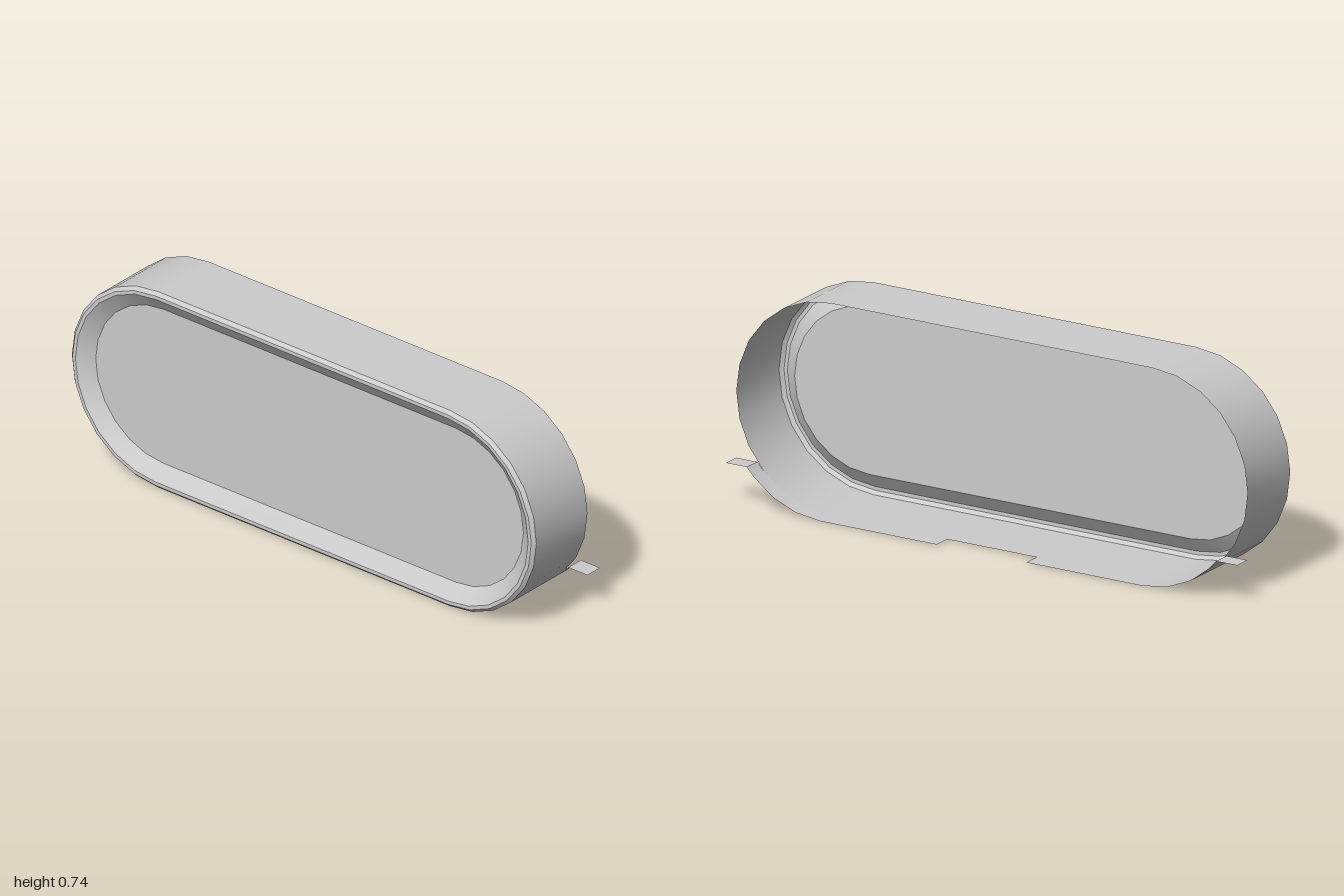
import * as THREE from 'three';

const R = 0.37;          // end radius of the stadium outline
const HALF = 0.63;       // half length of the straight run
const SEG = 12;          // segments per rounded end
const BACK = -0.105, TAB_BACK = -0.17, TAB_Y = 0.137, NOTCH = 0.175;

const material = new THREE.MeshStandardMaterial({ color: 0xcccccc, side: THREE.DoubleSide });

// Stadium outline inset by a given amount, counter-clockwise seen from the front
function outline(inset, z) {
  const points = [];
  for (const side of [1, -1]) {
    for (let i = 0; i <= SEG; i++) {
      const a = -Math.PI / 2 + (i / SEG) * Math.PI;
      points.push(new THREE.Vector3(
        side * (HALF + (R - inset) * Math.cos(a)), R + side * (R - inset) * Math.sin(a), z));
    }
  }
  return points;
}

// Surface between two matching rows of points, smooth along the row
function band(name, front, back, closed) {
  const n = front.length, index = [];
  for (let i = 0; i < (closed ? n : n - 1); i++) {
    const j = (i + 1) % n;
    index.push(i, n + i, j, n + i, n + j, j);
  }
  const geometry = new THREE.BufferGeometry().setFromPoints([...front, ...back]);
  geometry.setIndex(index);
  geometry.computeVertexNormals();
  const mesh = new THREE.Mesh(geometry, material);
  mesh.name = name;
  return mesh;
}

export function createModel() {
  const group = new THREE.Group();
  group.name = 'roundedHousing';

  // Outer wall, bevel, rim and sloped recess: [name, inset, z] from the open back inwards
  const profile = [
    ['backEdge', 0, BACK],
    ['outerWall', 0, 0.158],
    ['bevel', 0.012, 0.17],
    ['frontRim', 0.025, 0.17],
    ['recessSlope', 0.079, 0.13],
  ];
  for (let i = 1; i < profile.length; i++) {
    const [, inset0, z0] = profile[i - 1];
    const [name, inset1, z1] = profile[i];
    group.add(band(name, outline(inset1, z1), outline(inset0, z0), true));
  }

  // Flat recessed front panel
  const panel = new THREE.Mesh(new THREE.ShapeGeometry(new THREE.Shape(outline(0.079, 0))), material);
  panel.position.z = 0.13;
  panel.name = 'frontPanel';
  group.add(panel);

  // Lower wall extensions either side of the middle notch, each with a flat end tab
  const endAngle = Math.asin((TAB_Y - R) / R);
  const endX = HALF + R * Math.cos(endAngle);
  for (const side of [1, -1]) {
    const path = [[NOTCH, 0], [HALF, 0]];
    for (let a = -90 + 180 / SEG; a < THREE.MathUtils.radToDeg(endAngle); a += 180 / SEG) {
      const t = THREE.MathUtils.degToRad(a);
      path.push([HALF + R * Math.cos(t), R + R * Math.sin(t)]);
    }
    path.push([endX, TAB_Y]);
    if (side < 0) path.reverse();
    const row = z => path.map(([x, y]) => new THREE.Vector3(side * x, y, z));
    const label = side > 0 ? 'left' : 'right';
    group.add(band(label + 'LowerExtension', row(BACK), row(TAB_BACK), false));

    const tab = new THREE.Mesh(new THREE.PlaneGeometry(1 - endX, BACK - TAB_BACK), material);
    tab.rotation.x = -Math.PI / 2;
    tab.position.set(side * (1 + endX) / 2, TAB_Y, (BACK + TAB_BACK) / 2);
    tab.name = label + 'EndTab';
    group.add(tab);
  }
  return group;
}
